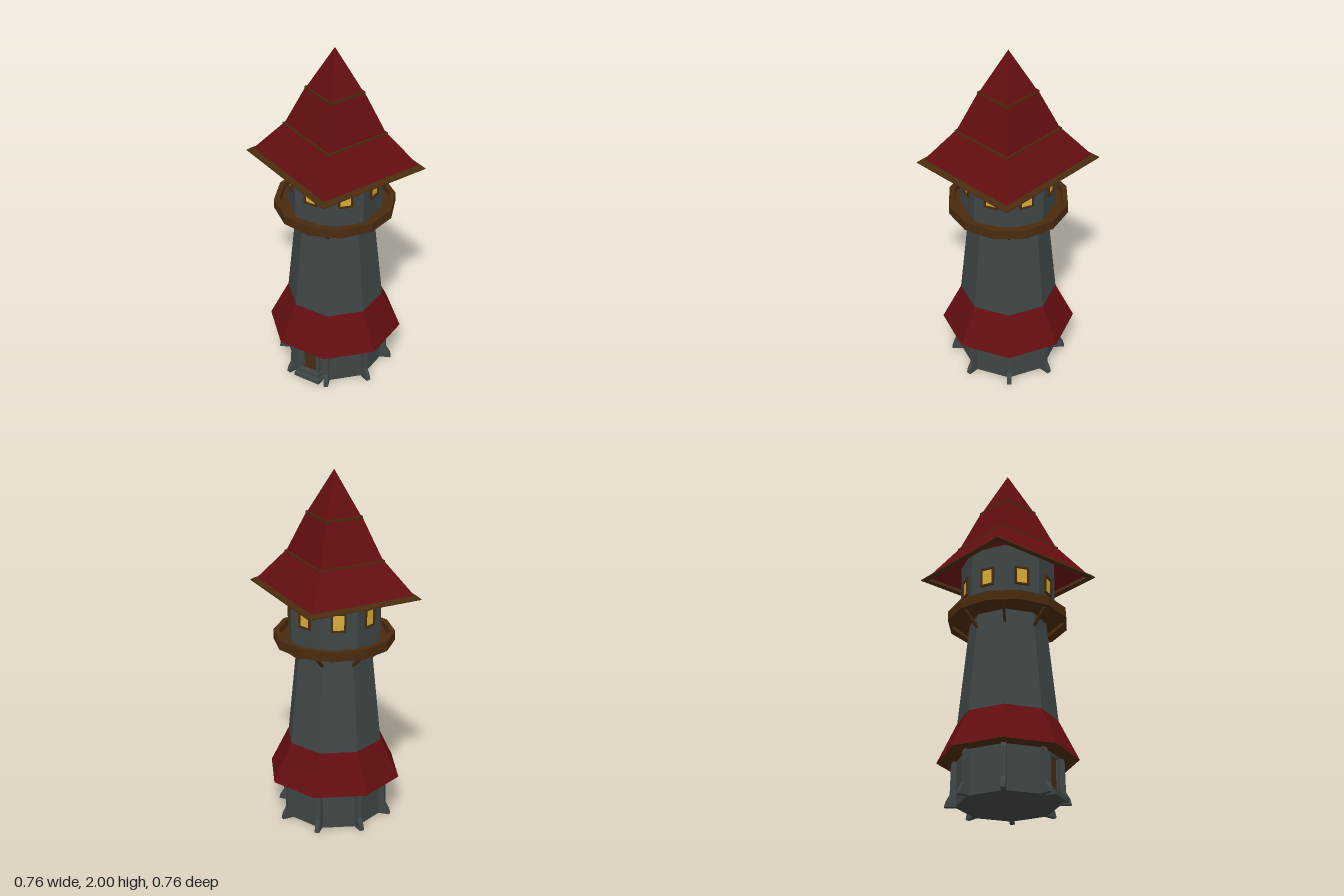
import * as THREE from 'three';

const mat = (name, color, side = THREE.FrontSide) => {
  const m = new THREE.MeshStandardMaterial({ color, side });
  m.name = name;
  return m;
};

export function createModel() {
  const stone = mat('stone', 0x3f4646);
  const red = mat('roof red', 0x640e11, THREE.DoubleSide);
  const wood = mat('wood', 0x4a2b0e);
  const glow = mat('window yellow', 0xd6ab38);

  const root = new THREE.Group();
  root.name = 'watchtower';

  const add = (parent, name, geo, material, x = 0, y = 0, z = 0) => {
    const mesh = new THREE.Mesh(geo, material);
    mesh.name = name;
    mesh.position.set(x, y, z);
    parent.add(mesh);
    return mesh;
  };
  const box = (parent, name, material, w, h, d, x, y, z) =>
    add(parent, name, new THREE.BoxGeometry(w, h, d), material, x, y, z);

  // Faceted ring from a radius/height profile
  const facet = (profile, sides) => {
    const pts = profile.map(([r, y]) => new THREE.Vector2(r, y));
    const geo = new THREE.LatheGeometry(pts, sides).toNonIndexed();
    geo.computeVertexNormals();
    return geo;
  };
  // Rectangular ring: the profile gives half widths in x, z is a little narrower
  const square = (profile) => {
    const geo = facet(profile.map(([w, y]) => [w * Math.SQRT2, y]), 4);
    geo.rotateY(Math.PI / 4);
    geo.scale(1, 1, 0.93);
    geo.computeVertexNormals();
    return geo;
  };
  // Group turned about the tower's axis
  const turned = (name, angle) => {
    const g = new THREE.Group();
    g.name = name;
    g.rotation.y = angle;
    root.add(g);
    return g;
  };

  // Octagonal walls
  add(root, 'baseWall', facet([[0, 0], [0.275, 0], [0.275, 0.3]], 8), stone);
  add(root, 'towerWall', facet([[0.275, 0.3], [0.272, 0.465], [0.212, 1.05]], 8), stone);
  add(root, 'lookoutRoom', facet([[0.2, 1.05], [0.262, 1.05], [0.262, 1.405], [0, 1.405]], 8), stone);

  // Skirt roof with a wooden underside
  add(root, 'skirtRoof', facet([[0.38, 0.245], [0.272, 0.466]], 8), red);
  add(root, 'skirtUnderside', facet([[0.27, 0.25], [0.376, 0.246]], 8), wood);

  // Balcony with a raised rim
  add(root, 'balcony', facet([
    [0.2, 1.041], [0.335, 1.041], [0.335, 1.095], [0.305, 1.095], [0.305, 1.06], [0.2, 1.06],
  ], 12), wood);

  // Buttresses and balcony braces on the eight corners
  const profile = new THREE.Shape([
    [0.25, 0], [0.333, 0], [0.325, 0.03], [0.304, 0.065], [0.3, 0.23], [0.29, 0.25], [0.25, 0.25],
  ].map(([x, y]) => new THREE.Vector2(x, y)));
  const buttressGeo = new THREE.ExtrudeGeometry(profile, { depth: 0.026, bevelEnabled: false });
  buttressGeo.translate(0, 0, -0.013);
  for (let i = 0; i < 8; i++) {
    const corner = turned('corner', i * Math.PI / 4);
    add(corner, 'buttress', buttressGeo, stone);
    const brace = box(corner, 'balconyBrace', wood, 0.13, 0.014, 0.014, 0.257, 0.998, 0);
    brace.rotation.z = Math.atan2(0.085, 0.1);
  }

  // A framed, lit window on each face of the lookout room
  for (let i = 0; i < 8; i++) {
    const face = turned('window', (i + 0.5) * Math.PI / 4);
    box(face, 'windowPane', glow, 0.064, 0.088, 0.008, 0, 1.228, 0.242);
    for (const s of [-1, 1]) {
      box(face, 'windowJamb', wood, 0.01, 0.106, 0.018, s * 0.035, 1.228, 0.244);
      box(face, 'windowRail', wood, 0.06, 0.01, 0.018, 0, 1.228 + s * 0.048, 0.244);
    }
  }

  // Door with stone frame and two steps
  const door = turned('door', Math.PI / 8);
  box(door, 'doorLeaf', wood, 0.08, 0.18, 0.008, 0, 0.135, 0.257);
  for (const s of [-1, 1]) box(door, 'doorJamb', stone, 0.018, 0.2, 0.028, s * 0.049, 0.14, 0.258);
  box(door, 'doorLintel', stone, 0.116, 0.016, 0.028, 0, 0.233, 0.258);
  box(door, 'upperStep', stone, 0.135, 0.045, 0.05, 0, 0.0225, 0.265);
  box(door, 'lowerStep', stone, 0.165, 0.022, 0.075, 0, 0.011, 0.275);

  // Three-tier square roof, hollow below
  const tiers = [[[0.335, 1.342], [0.204, 1.525]], [[0.203, 1.52], [0.114, 1.757]], [[0.113, 1.752], [0, 2]]];
  for (const tier of tiers) add(root, 'roofTier', square(tier), red);

  // Wooden eaves and the trims between tiers
  add(root, 'eaves', square([
    [0.325, 1.328], [0.359, 1.328], [0.359, 1.333], [0.34, 1.349], [0.329, 1.349], [0.325, 1.328],
  ]), wood);
  for (const [w, y] of [[0.209, 1.52], [0.118, 1.752]]) {
    const t = w * 0.045;
    add(root, 'roofTrim', square([
      [w - t, y - 0.006], [w, y - 0.006], [w, y + 0.007], [w - t, y + 0.007], [w - t, y - 0.006],
    ]), wood);
  }

  return root;
}
